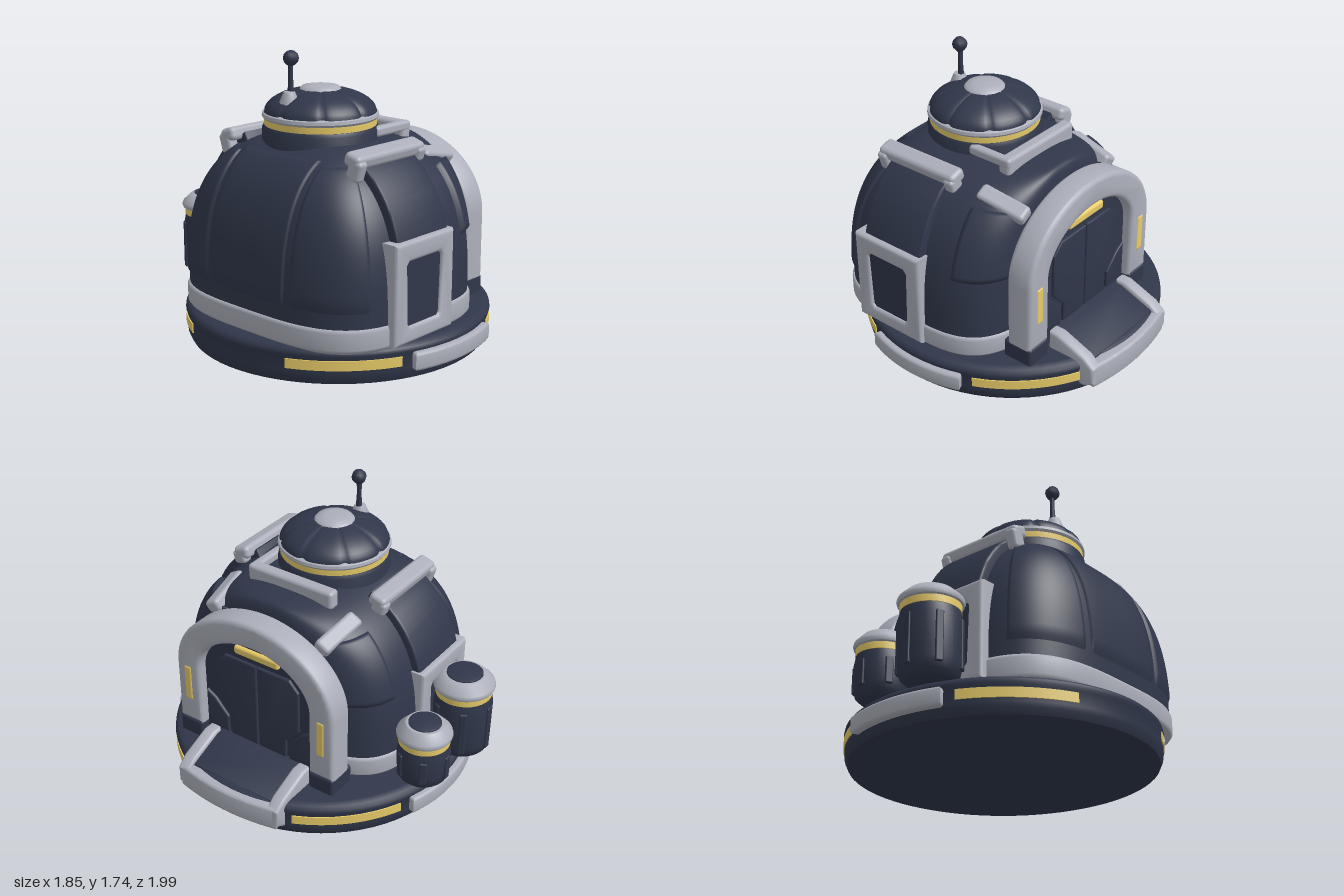
import * as THREE from 'three';
import { toCreasedNormals } from 'three/addons/utils/BufferGeometryUtils.js';
import { RoundedBoxGeometry } from 'three/addons/geometries/RoundedBoxGeometry.js';

const mat = (name, color) => Object.assign(new THREE.MeshStandardMaterial({ color }), { name });

export function createModel() {
  const root = new THREE.Group();
  root.name = 'domeHouse';
  const dark = mat('darkSlate', 0x30374a), grey = mat('paleGrey', 0xacafba), yellow = mat('lampYellow', 0xeace6a);

  const add = (name, geo, m, x = 0, y = 0, z = 0) => {
    const mesh = new THREE.Mesh(geo, m);
    mesh.name = name;
    mesh.position.set(x, y, z);
    root.add(mesh);
    return mesh;
  };
  // Rounded box given by its minimum and maximum corners
  const box = (name, m, x0, x1, y0, y1, z0, z1, r = 0.015) =>
    add(name, new RoundedBoxGeometry(x1 - x0, y1 - y0, z1 - z0, 3, r), m, (x0 + x1) / 2, (y0 + y1) / 2, (z0 + z1) / 2);
  const lathe = (name, m, pts, x, z, seg = 48) =>
    add(name, toCreasedNormals(new THREE.LatheGeometry(pts.map(p => new THREE.Vector2(...p)), seg), 0.7), m, x, 0, z);
  const vecs = pts => pts.map(p => new THREE.Vector2(...p));
  const poly = pts => new THREE.Shape(vecs(pts));
  // Bevelled extrusion that keeps the outline and spans exactly 0..depth
  const extrude = (shape, depth, b) => {
    const g = new THREE.ExtrudeGeometry(shape, {
      depth: depth - 2 * b, bevelEnabled: b > 0, bevelThickness: b, bevelSize: b, bevelOffset: -b, bevelSegments: 3, curveSegments: 24,
    });
    g.translate(0, 0, b);
    return toCreasedNormals(g, 0.7);
  };
  // Extrusion along +x of an outline drawn as (-z, y), and along +y of one drawn as (x, -z)
  const extrudeX = (shape, depth, b) => extrude(shape, depth, b).rotateY(Math.PI / 2);
  const extrudeY = (shape, depth, b) => extrude(shape, depth, b).rotateX(-Math.PI / 2);
  // Surface from a function of u and v in 0..1
  const grid = (nu, nv, closed, fn) => {
    const pos = [], idx = [], w = closed ? nu : nu + 1;
    for (let j = 0; j <= nv; j++) for (let i = 0; i < w; i++) pos.push(...fn(i / nu, j / nv));
    for (let j = 0; j < nv; j++) for (let i = 0; i < nu; i++) {
      const a = j * w + i, b = j * w + (i + 1) % w, c = a + w, d = b + w;
      idx.push(a, c, b, b, c, d);
    }
    const g = new THREE.BufferGeometry();
    g.setAttribute('position', new THREE.Float32BufferAttribute(pos, 3));
    g.setIndex(idx);
    g.computeVertexNormals();
    return g;
  };

  // Round base with flush lamps and bumper plates
  const bx = -0.02, bz = 0.048;
  lathe('base', dark, [[0, 0], [0.85, 0], [0.885, 0.012], [0.902, 0.05], [0.905, 0.08], [0.905, 0.165], [0.912, 0.18], [0.908, 0.2], [0.89, 0.217], [0.85, 0.222], [0, 0.222]], bx, bz, 72);
  const basePlate = (name, m, deg, half, ro, y0, y1, b) => {
    const a = deg * Math.PI / 180, h = half * Math.PI / 180, s = new THREE.Shape();
    s.absarc(0, 0, ro, a - h, a + h, false);
    s.absarc(0, 0, 0.86, a + h, a - h, true);
    add(name, extrudeY(s, y1 - y0, b), m, bx, y0, bz);
  };
  for (const d of [45, 135, 225, 315]) basePlate('baseLamp', yellow, d, 20.5, 0.911, 0.097, 0.153, 0);
  for (const d of [90, 270]) basePlate('basePlate', grey, d, 20.5, 0.945, 0.065, 0.17, 0.018);

  // Dome body: squarish footprint, rounded left side, vaulted toward the door
  const cx = -0.2, cz = 0.11, A = 0.632, B = 0.755, y0 = 0.35, H = 0.91;
  const sp = (v, e) => Math.sign(v) * Math.abs(v) ** e;
  const width = th => Math.max(Math.cos(th), 0) ** 0.74;
  const dome = (u, th, off = 0) => {
    const c = Math.cos(u), e = c > 0 ? 0.5 : 0.61, f = width(th), h = Math.sin(th) ** 0.74;
    const dx = sp(c, e) * (A + off) * (c > 0 ? f ** 0.05 : f);
    return [cx + dx, y0 + h * (H + off) - 0.05 * Math.max(dx / A, 0) * h, cz + sp(Math.sin(u), e) * (B + off) * f];
  };
  add('domeBody', grid(144, 32, true, (u, v) => dome(u * 2 * Math.PI, v * Math.PI / 2)), dark);
  // Grey belt around the foot of the dome
  const rings = [[-0.03, 0.2], [0, 0.222], [0.012, 0.24], [0.012, 0.33], [0.003, 0.35], [-0.04, 0.358]];
  add('footBelt', grid(144, 5, true, (u, v) => {
    const [off, y] = rings[Math.round(v * 5)], p = dome(u * 2 * Math.PI, 0, off);
    return [p[0], y, p[2]];
  }), grey);
  // Raised plates lying on the dome, their borders sunk into it
  const plate = (name, t0, t1, angle, off) => add(name, grid(28, 24, false, (u, v) => {
    const edge = u === 0 || u === 1 || v === 0 || v === 1, th = t0 + (t1 - t0) * v;
    return dome(angle(u, th), th, edge ? -0.012 : off);
  }), dark);
  const seam = (z, th) => Math.asin(Math.min(1, (z / (B * width(th))) ** (1 / 0.61)));
  plate('sidePanel', 0.02, 1.12, (u, th) => Math.PI + (2 * u - 1) * seam(0.29, th), 0.01);
  for (const s of [1, -1]) {
    plate('sidePanel', 0.02, 1.05, (u, th) => {
      const a = seam(0.31, th), w = s > 0 ? u : 1 - u;
      return Math.PI + s * (a + (1.12 - a) * w);
    }, 0.01);
    plate('shoulderPanel', 0.29, 0.92, u => s * (s > 0 ? 0.31 + 0.93 * u : 1.24 - 0.93 * u), 0.02);
  }

  // Window panels, windows and roof brackets on both z sides
  for (const s of [1, -1]) {
    const out = [], inn = [];
    for (let i = 0; i <= 12; i++) {
      const t = 0.3 + 0.85 * i / 12, f = width(t), h = Math.sin(t) ** 0.74;
      out.push([-s * (B + 0.045) * f, y0 + h * (H + 0.03)]);
      inn.unshift([-s * (B - 0.16) * f, y0 + h * (H - 0.16)]);
    }
    add('windowPanel', extrudeX(poly([...out, ...inn]), 0.425, 0.014), dark, -0.44, 0, cz);
    const zr = (a, b) => [cz + s * a, cz + s * b].sort((p, q) => p - q);
    // Window frame with a rounded opening and shallow pane
    const frame = poly([[-0.49, 0.23], [0, 0.23], [0, 0.8], [-0.49, 0.8]]);
    frame.holes.push(new THREE.Path(vecs([[-0.365, 0.325], [-0.38, 0.34], [-0.392, 0.67], [-0.375, 0.69], [-0.12, 0.69], [-0.104, 0.67], [-0.115, 0.34], [-0.13, 0.325]])));
    add('windowFrame', extrude(frame, 0.2, 0.022), grey, 0, 0, s > 0 ? cz + 0.595 : cz - 0.795);
    box('windowPane', dark, -0.43, -0.07, 0.29, 0.73, ...zr(0.6, 0.777), 0.005);
    // Roof bracket with turned-down ends
    box('roofBracket', grey, -0.515, 0.05, 1.17, 1.25, ...zr(0.43, 0.54), 0.028).rotation.x = s * 0.3;
    for (const [x, y] of [[-0.515, 1.1], [-0.02, 1.135]])
      box('bracketEnd', grey, x, x + 0.07, y, 1.22, ...zr(0.455, 0.545), 0.022).rotation.x = s * 0.3;
    // Shoulder bar leading to the door arch
    box('shoulderBar', grey, 0.14, 0.45, 1.06, 1.14, ...zr(0.35, 0.45), 0.024).rotation.set(s * 0.5, 0, -0.24);
  }

  // Door arch as one open band with flat feet
  const dz = 0.095;
  const band = new THREE.Shape();
  band.moveTo(0.565, 0.32);
  band.lineTo(0.565, 0.72);
  band.absellipse(0, 0.72, 0.565, 0.45, 0, Math.PI, false);
  band.lineTo(-0.565, 0.32);
  band.lineTo(-0.395, 0.32);
  band.lineTo(-0.395, 0.72);
  band.absellipse(0, 0.72, 0.395, 0.29, Math.PI, 0, true);
  band.lineTo(0.395, 0.32);
  add('doorArch', extrudeX(band, 0.17, 0.028), grey, 0.435, 0, dz);
  // Recessed wall, leaves and lamps
  const wall = poly([[-0.41, 0.2], [0.41, 0.2], [0.41, 0.72]]);
  wall.absellipse(0, 0.72, 0.41, 0.3, 0, Math.PI, false);
  add('doorWall', extrudeX(wall, 0.18, 0), dark, 0.36, 0, dz);
  for (const s of [1, -1]) {
    const z = dz + s * 0.48;
    box('archFoot', dark, 0.41, 0.605, 0.2, 0.33, z - 0.085, z + 0.085, 0.02);
    box('archLamp', yellow, 0.58, 0.61, 0.475, 0.715, z - 0.028, z + 0.028, 0.014);
    const leaf = [[0.005, 0.31], [0.2, 0.31], [0.2, 0.43], [0.295, 0.53], [0.295, 0.8], [0.23, 0.868], [0.005, 0.868]];
    add('doorLeaf', extrudeX(poly(leaf.map(([a, y]) => [s * a, y])), 0.035, 0.008), dark, 0.525, 0, dz);
    const flap = [[0.225, 0.31], [0.38, 0.31], [0.38, 0.56], [0.315, 0.52], [0.225, 0.42]];
    add('doorSidePanel', extrudeX(poly(flap.map(([a, y]) => [s * a, y])), 0.035, 0.008), dark, 0.525, 0, dz);
  }
  box('doorLamp', yellow, 0.52, 0.562, 0.905, 0.962, dz - 0.16, dz + 0.16, 0.018);

  // Entrance ramp with side rails and a bowed front bumper
  const rail = poly([[0.57, 0.1], [0.57, 0.33], [0.63, 0.33], [0.82, 0.255], [0.885, 0.2], [0.885, 0.1], [0.82, 0.06]]);
  for (const z of [-0.29, 0.365]) add('rampRail', extrude(rail, 0.085, 0.018), grey, 0, 0, z);
  const bumper = new THREE.Shape();
  bumper.moveTo(0.81, -0.43);
  bumper.lineTo(0.88, -0.43);
  bumper.quadraticCurveTo(0.965, -0.08, 0.88, 0.27);
  bumper.lineTo(0.81, 0.27);
  add('rampBumper', extrudeY(bumper, 0.15, 0.018), grey, 0, 0.062, 0);
  add('rampPlate', extrude(poly([[0.48, 0.08], [0.48, 0.31], [0.61, 0.31], [0.835, 0.222], [0.835, 0.08]]), 0.62, 0.004), dark, 0, 0, -0.23);

  // Roof turret: collar, lamp ring, rim, segmented cap
  const tx = -0.2, tz = 0.08;
  lathe('turretCollar', dark, [[0.335, 1.1], [0.335, 1.28], [0.325, 1.3], [0.28, 1.305]], tx, tz);
  lathe('turretLamp', yellow, [[0.28, 1.293], [0.322, 1.298], [0.324, 1.337], [0.28, 1.34]], tx, tz);
  lathe('turretRim', grey, [[0.28, 1.335], [0.325, 1.337], [0.335, 1.35], [0.332, 1.368], [0.318, 1.377], [0.27, 1.378]], tx, tz);
  const cap = new THREE.LatheGeometry(Array.from({ length: 13 }, (_, i) => {
    const a = i / 12 * Math.PI / 2;
    return new THREE.Vector2(0.325 * Math.cos(a), 1.365 + 0.145 * Math.sin(a));
  }), 96);
  const cp = cap.attributes.position;
  for (let i = 0; i < cp.count; i++) {
    const phi = Math.atan2(cp.getZ(i), cp.getX(i)), k = 1 - 0.04 * (1 - Math.abs(Math.sin(phi * 4))) ** 5;
    cp.setXYZ(i, cp.getX(i) * k, 1.365 + (cp.getY(i) - 1.365) * k, cp.getZ(i) * k);
  }
  cap.computeVertexNormals();
  add('turretCap', cap, dark, tx, 0, tz);
  lathe('turretButton', grey, [[0.118, 1.47], [0.118, 1.5], [0.105, 1.515], [0.06, 1.523], [0, 1.525]], tx, tz, 32);

  // Antenna
  lathe('antennaFoot', grey, [[0.06, 1.4], [0.055, 1.45], [0.032, 1.505], [0, 1.51]], -0.42, 0.05, 16);
  lathe('antennaRod', dark, [[0.02, 1.48], [0.014, 1.58], [0.016, 1.68]], -0.408, 0.05, 12);
  add('antennaBall', new THREE.SphereGeometry(0.045, 8, 6), dark, -0.408, 1.692, 0.053);

  // Corner bracket beside the turret
  box('turretBracket', grey, 0.155, 0.235, 1.18, 1.295, -0.2, 0.39, 0.024);
  box('turretBracketArm', grey, -0.06, 0.235, 1.235, 1.295, 0.335, 0.392, 0.02);

  // Storage tanks at the back
  for (const [x, z, r, top] of [[-0.25, -0.815, 0.185, 0.75], [0.135, -0.785, 0.165, 0.613]]) {
    lathe('tankBody', dark, [[0, 0.215], [r * 0.7, 0.215], [r * 0.86, 0.24], [r * 0.93, 0.3], [r * 0.95, top - 0.2], [r * 0.88, top - 0.135], [0, top - 0.13]], x, z, 32);
    lathe('tankLamp', yellow, [[r * 0.7, top - 0.142], [r * 0.91, top - 0.14], [r * 0.91, top - 0.1], [r * 0.7, top - 0.09]], x, z, 32);
    lathe('tankCollar', grey, [[r * 0.8, top - 0.098], [r * 0.97, top - 0.095], [r, top - 0.08], [r * 0.97, top - 0.062], [r * 0.68, top - 0.012], [r * 0.5, top - 0.01]], x, z, 32);
    lathe('tankLid', dark, [[r * 0.59, top - 0.03], [r * 0.58, top - 0.005], [r * 0.5, top], [0, top]], x, z, 32);
    for (let i = 0; i < 6; i++) {
      const a = i * Math.PI / 3, rib = box('tankRib', dark, -0.022, 0.022, 0.27, top - 0.19, -0.012, 0.012, 0.008);
      rib.position.x = x + Math.sin(a) * r * 0.92;
      rib.position.z = z + Math.cos(a) * r * 0.92;
      rib.rotation.y = a;
    }
  }
  return root;
}
